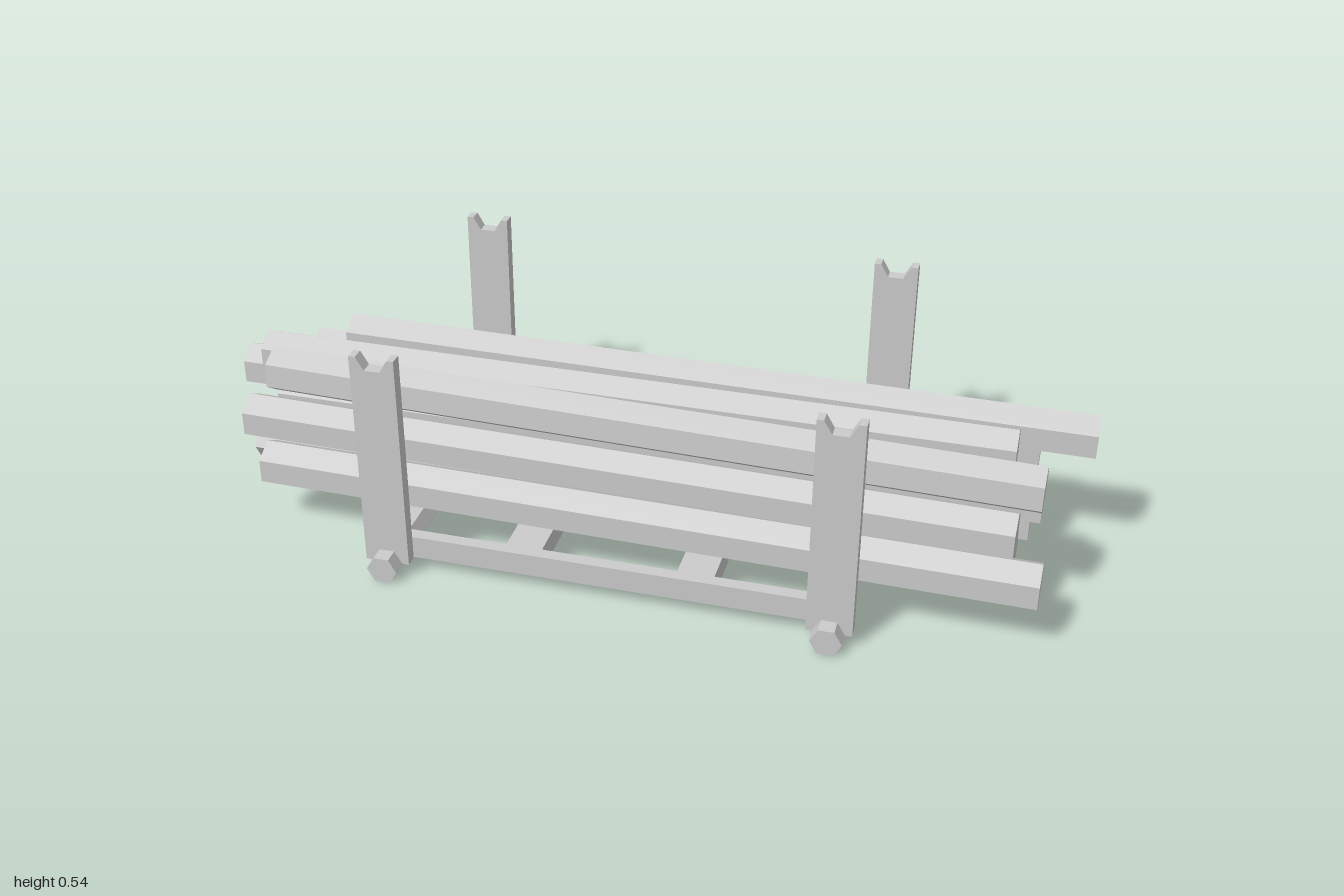
import * as THREE from 'three';

const material = new THREE.MeshStandardMaterial({ color: 0xcccccc, flatShading: true });
const MID = 0.011, HALF = 0.493; // centre of the rack and half the spacing of its axles

function add(group, name, geometry, x = 0, y = 0, z = 0) {
  const mesh = new THREE.Mesh(geometry, material);
  mesh.name = name;
  mesh.position.set(x, y, z);
  group.add(mesh);
  return mesh;
}

// Upright plank with a half-hexagon notch at the top and at the bottom
function postGeometry() {
  const w = 0.05, bottom = 0.03, top = 0.54, r = 0.035, d = 0.03;
  const shape = new THREE.Shape([
    [-w, bottom], [-r, bottom], [-r / 2, bottom + d], [r / 2, bottom + d], [r, bottom], [w, bottom],
    [w, top], [r, top], [r / 2, top - d], [-r / 2, top - d], [-r, top], [-w, top],
  ].map(([x, y]) => new THREE.Vector2(x, y)));
  return new THREE.ExtrudeGeometry(shape, { depth: 0.029, bevelEnabled: false }).translate(0, 0, -0.0145);
}

// Hexagonal log from its left end to its right end: [x, y, z] each
function addLog(group, start, end, spin) {
  const a = new THREE.Vector3(...start), b = new THREE.Vector3(...end);
  const geometry = new THREE.CylinderGeometry(0.0545, 0.0545, a.distanceTo(b), 6)
    .rotateZ(-Math.PI / 2)
    .rotateX(THREE.MathUtils.degToRad(spin));
  const log = add(group, 'log', geometry);
  log.position.copy(a).add(b).multiplyScalar(0.5);
  log.quaternion.setFromUnitVectors(new THREE.Vector3(1, 0, 0), b.sub(a).normalize());
}

export function createModel() {
  const model = new THREE.Group();
  model.name = 'logRack';

  // Rack: two hexagonal axles with a post at each end
  const rack = new THREE.Group();
  rack.name = 'rack';
  model.add(rack);
  const post = postGeometry();
  const axle = new THREE.CylinderGeometry(0.0346, 0.0346, 0.826, 6).rotateY(Math.PI / 6).rotateX(Math.PI / 2);
  for (const side of [-1, 1]) {
    const x = MID + side * HALF;
    add(rack, 'axle', axle, x, 0.03, 0);
    for (const end of [-1, 1]) add(rack, 'post', post, x, 0, end * 0.3625);
  }

  // Ladder frame: long rails and two rungs
  const rail = new THREE.BoxGeometry(2 * HALF, 0.053, 0.029);
  const rung = new THREE.BoxGeometry(0.082, 0.053, 0.64);
  for (const side of [-1, 1]) {
    add(rack, 'rail', rail, MID, 0.0585, side * 0.333);
    add(rack, 'rung', rung, MID + side * 0.193, 0.0585, 0);
  }

  // Stack of logs: left x, left y, left z, right y, right z, spin in degrees
  const logs = new THREE.Group();
  logs.name = 'logs';
  model.add(logs);
  const LENGTH = 1.747;
  const stack = [
    // bottom row
    [-0.828, 0.141, 0.218, 0.141, 0.252, 30],
    [-0.89, 0.134, 0.107, 0.134, 0.144, 0],
    [-0.87, 0.141, 0, 0.141, 0, 30],
    [-0.877, 0.134, -0.131, 0.134, -0.118, 0],
    [-0.915, 0.141, -0.238, 0.141, -0.238, 30],
    // middle row
    [-0.89, 0.222, 0.158, 0.222, 0.2, 30],
    [-0.847, 0.227, 0.06, 0.227, 0.06, 30],
    [-1, 0.217, -0.077, 0.22, -0.062, 30],
    [-0.87, 0.222, -0.183, 0.222, -0.183, 30],
    // top row
    [-0.845, 0.324, 0.11, 0.309, 0.147, 25],
    [-0.915, 0.297, -0.011, 0.297, -0.011, 30],
    [-0.75, 0.305, -0.127, 0.299, -0.115, 30],
  ];
  for (const [x, y0, z0, y1, z1, spin] of stack) addLog(logs, [x, y0, z0], [x + LENGTH, y1, z1], spin);

  return model;
}
